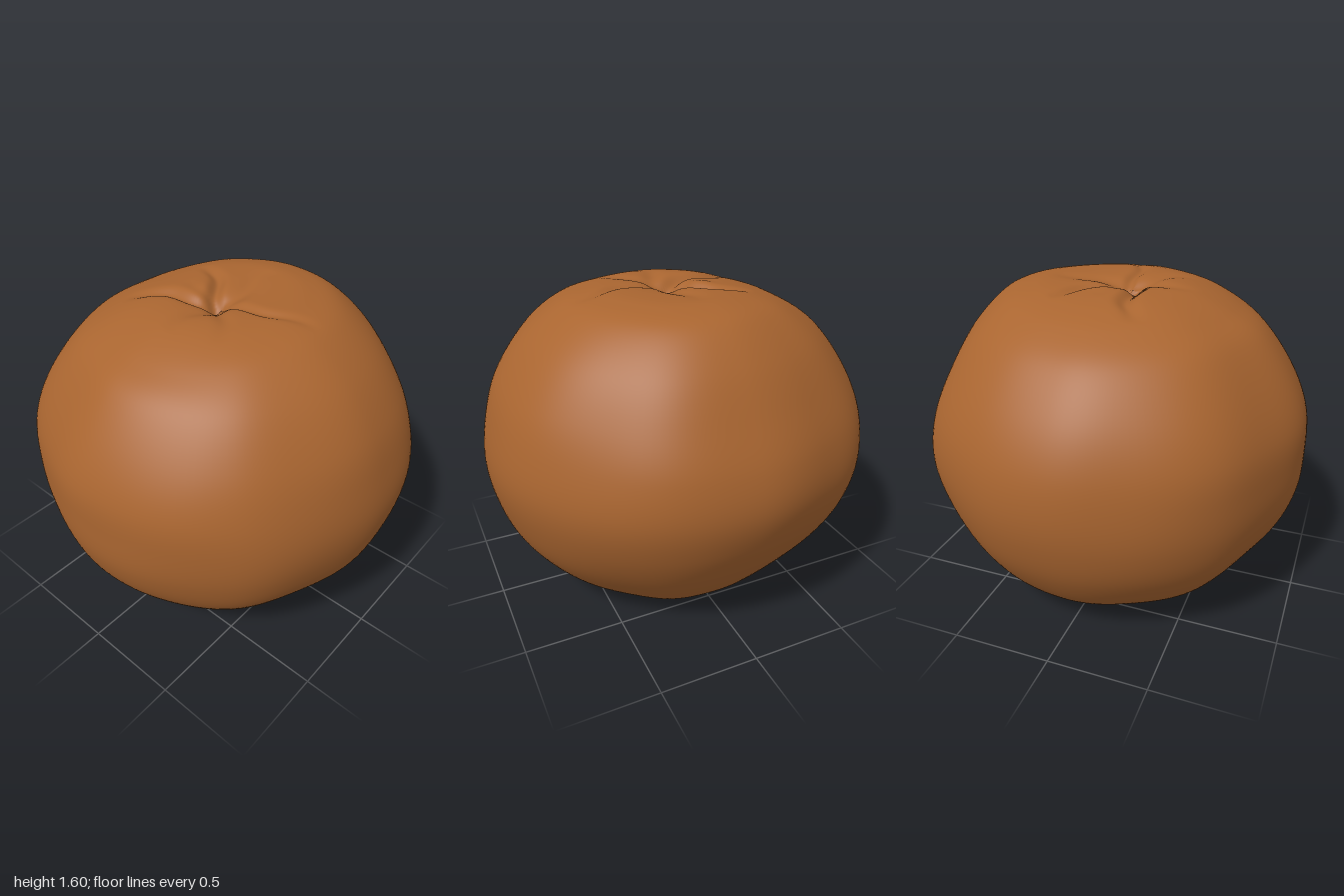
import * as THREE from 'three';
import { mergeVertices } from 'three/addons/utils/BufferGeometryUtils.js';

// Half profiles [radius, height] from crown to base, one per compass direction
const profiles = {
  left: [[0, 1.57], [0.1, 1.592], [0.25, 1.608], [0.4, 1.6], [0.57, 1.55], [0.76, 1.4], [0.9, 1.2], [0.97, 1.0],
    [1.0, 0.8], [0.97, 0.6], [0.89, 0.4], [0.73, 0.2], [0.57, 0.075], [0.41, 0.012], [0.29, 0.035], [0, 0.05]],
  front: [[0, 1.57], [0.13, 1.59], [0.28, 1.6], [0.42, 1.57], [0.58, 1.5], [0.73, 1.4], [0.88, 1.2], [0.97, 1.0],
    [0.985, 0.8], [0.967, 0.6], [0.89, 0.4], [0.74, 0.2], [0.58, 0.08], [0.4, 0.008], [0.28, 0.035], [0, 0.05]],
  right: [[0, 1.57], [0.12, 1.605], [0.25, 1.59], [0.4, 1.56], [0.56, 1.5], [0.73, 1.39], [0.88, 1.2], [0.97, 1.0],
    [1.0, 0.8], [0.98, 0.6], [0.91, 0.4], [0.77, 0.2], [0.6, 0.07], [0.43, 0.015], [0.29, 0.035], [0, 0.05]],
  back: [[0, 1.57], [0.13, 1.595], [0.3, 1.606], [0.45, 1.6], [0.6, 1.55], [0.75, 1.4], [0.87, 1.2], [0.96, 1.0],
    [0.985, 0.8], [0.93, 0.6], [0.82, 0.4], [0.67, 0.2], [0.53, 0.06], [0.38, 0.012], [0.28, 0.035], [0, 0.05]],
};
const curves = [profiles.left, profiles.front, profiles.right, profiles.back].map(
  (p) => new THREE.CatmullRomCurve3(p.map(([r, y]) => new THREE.Vector3(r, y, 0)), false, 'catmullrom', 0.5));

// Uneven plan outline, sampled every 22.5 degrees from +x towards +z
const outline = [1, 0.983, 1.003, 1, 1, 0.972, 0.997, 0.986, 1, 1.01, 1.015, 0.988, 1, 1.014, 0.996, 1.008];

// Puckered creases round the crown: direction in degrees, length, depth, width
const creases = [
  [-138, 0.46, 0.04, 0.035], [163, 0.5, 0.045, 0.04], [-12, 0.5, 0.022, 0.03],
  [-92, 0.42, 0.018, 0.05], [95, 0.34, 0.016, 0.045], [48, 0.36, 0.014, 0.04], [-165, 0.3, 0.014, 0.04],
];
const ease = (f) => (1 - Math.cos(Math.PI * f)) / 2;

function creaseDepth(x, z) {
  const dx = x - 0.03, dz = z - 0.05;
  let depth = 0.018 * Math.exp(-(dx * dx + dz * dz) / 0.004);
  for (const [deg, length, d, width] of creases) {
    const a = THREE.MathUtils.degToRad(deg);
    const along = dx * Math.cos(a) + dz * Math.sin(a);
    if (along <= 0 || along >= length) continue;
    // a slight wave keeps the crease from looking ruled
    const across = dz * Math.cos(a) - dx * Math.sin(a) + 0.018 * Math.sin(along * 17 + deg);
    depth += d * Math.pow(Math.sin(Math.PI * Math.sqrt(along / length)), 0.8)
      * Math.exp(-((across / width) ** 2));
  }
  return depth;
}

function skinPoint(t, angle) {
  const turn = ((angle / (2 * Math.PI)) % 1 + 1) % 1;
  const quarter = Math.floor(turn * 4) % 4;
  const p = curves[quarter].getPoint(t);
  p.lerp(curves[(quarter + 1) % 4].getPoint(t), ease(turn * 4 - Math.floor(turn * 4)));
  const k = Math.floor(turn * 16) % 16;
  const lobe = THREE.MathUtils.lerp(outline[k], outline[(k + 1) % 16], ease(turn * 16 - Math.floor(turn * 16)));
  // Gentle dents in the peel
  const dent = 0.003 * Math.sin(5 * angle + 9 * t) * Math.sin(14 * t) + 0.002 * Math.sin(9 * angle - 17 * t);
  const r = Math.max(0, p.x * (lobe + dent));
  const x = r * Math.cos(angle), z = r * Math.sin(angle);
  const y = t < 0.4 ? p.y - creaseDepth(x, z) : p.y;
  return [x, Math.max(0, y), z];
}

export function createModel() {
  const model = new THREE.Group();
  model.name = 'fruit';
  const peelMaterial = new THREE.MeshStandardMaterial({ color: 0xa96530 });
  peelMaterial.name = 'orange brown peel';

  // Peel: a sphere whose vertices follow the blended profiles
  let geometry = new THREE.SphereGeometry(1, 160, 140);
  const pos = geometry.attributes.position;
  for (let i = 0; i < pos.count; i++) {
    const t = Math.acos(THREE.MathUtils.clamp(pos.getY(i), -1, 1)) / Math.PI;
    pos.setXYZ(i, ...skinPoint(t, Math.atan2(pos.getZ(i), pos.getX(i))));
  }
  geometry.deleteAttribute('uv');
  geometry.deleteAttribute('normal');
  geometry = mergeVertices(geometry, 1e-4);
  geometry.computeVertexNormals();

  const peel = new THREE.Mesh(geometry, peelMaterial);
  peel.name = 'peel';
  model.add(peel);
  return model;
}
